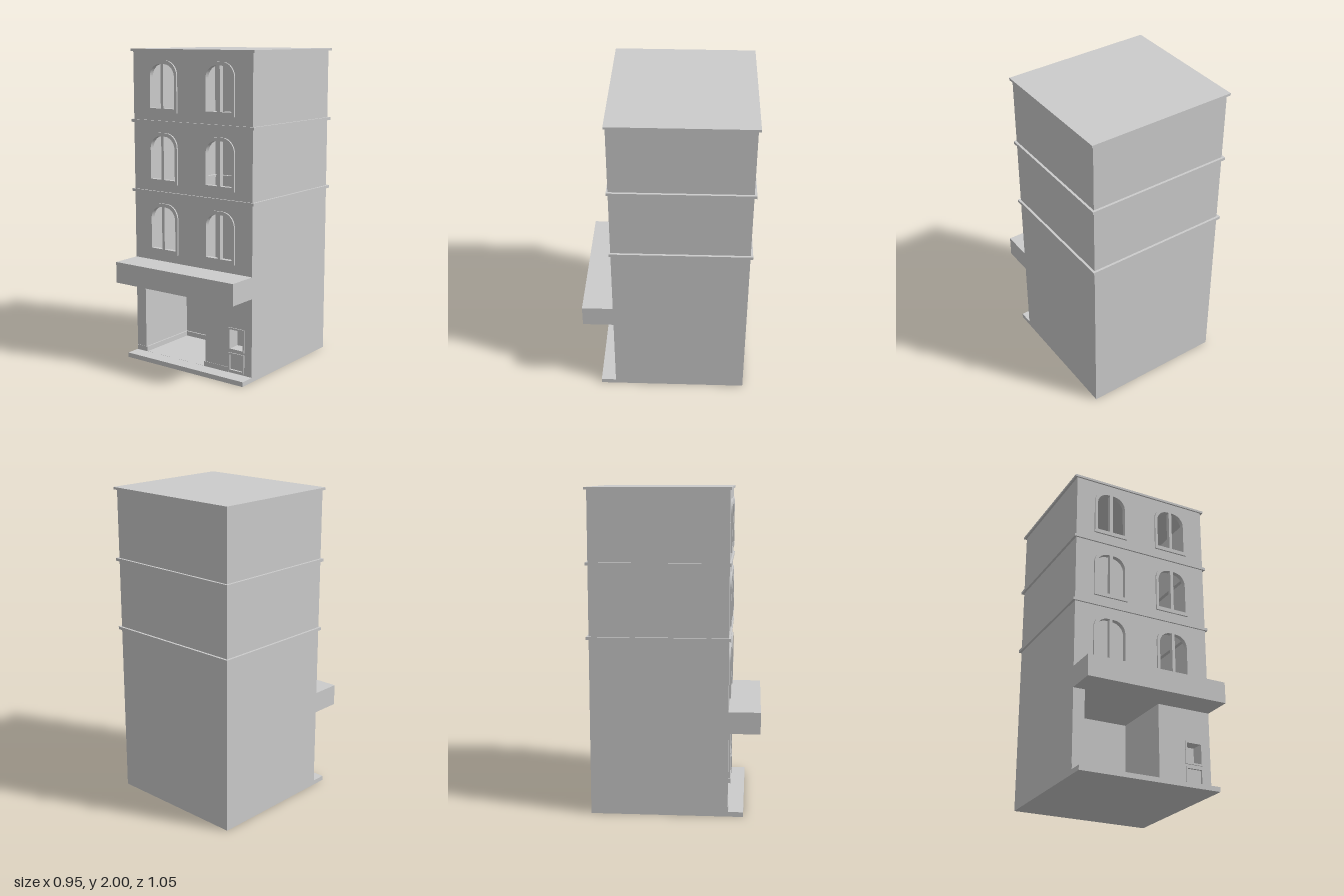
import * as THREE from 'three';

const mat = new THREE.MeshStandardMaterial({ color: 0xcccccc, flatShading: true });

export function createModel() {
  const model = new THREE.Group();
  const W = 0.46, BACK = -0.51, FRONT = 0.335, T = 0.03;

  const add = (name, geo) => {
    const m = new THREE.Mesh(geo, mat);
    m.name = name;
    model.add(m);
    return m;
  };
  // box given by its limits on each axis
  const box = (name, x0, x1, y0, y1, z0, z1) => {
    const g = new THREE.BoxGeometry(x1 - x0, y1 - y0, z1 - z0);
    g.translate((x0 + x1) / 2, (y0 + y1) / 2, (z0 + z1) / 2);
    return add(name, g);
  };
  const plate = (name, shape, z0, z1) => {
    const g = new THREE.ExtrudeGeometry(shape, { depth: z1 - z0, bevelEnabled: false, curveSegments: 7 });
    g.translate(0, 0, z0);
    return add(name, g);
  };
  const rect = (p, x0, x1, y0, y1) =>
    p.moveTo(x0, y0).lineTo(x1, y0).lineTo(x1, y1).lineTo(x0, y1).closePath();
  // opening with rounded top corners
  const arch = (p, x0, x1, y0, y1, r) => {
    p.moveTo(x0, y0).lineTo(x1, y0).lineTo(x1, y1 - r);
    p.absarc(x1 - r, y1 - r, r, 0, Math.PI / 2, false);
    p.lineTo(x0 + r, y1);
    p.absarc(x0 + r, y1 - r, r, Math.PI / 2, Math.PI, false);
    return p.closePath();
  };
  // one pane: straight beside the mullion, curved on the outer side (s = -1 or 1)
  const pane = (cx, s, y0, y1) => {
    const p = new THREE.Path(), a = cx + s * 0.01, b = cx + s * 0.097, r = 0.078;
    p.moveTo(a, y0).lineTo(b, y0).lineTo(b, y1 - r);
    p.absarc(b - s * r, y1 - r, r, s > 0 ? 0 : Math.PI, Math.PI / 2, s < 0);
    return p.lineTo(a, y1).closePath();
  };
  // walls, floor and ceiling around a space that is open to the front
  const recess = (name, x0, x1, y0, y1, z0, z1, t) => {
    box(name + 'Back', x0 - t, x1 + t, y0 - t, y1 + t, z0 - t, z0);
    box(name + 'RightWall', x0 - t, x0, y0, y1, z0, z1);
    box(name + 'LeftWall', x1, x1 + t, y0, y1, z0, z1);
    box(name + 'Ceiling', x0 - t, x1 + t, y1, y1 + t, z0, z1);
    box(name + 'Floor', x0 - t, x1 + t, y0 - t, y0, z0, z1);
  };

  // base slab and hollow shell
  box('baseSlab', -W, W, 0, 0.03, BACK, 0.43);
  box('backWall', -W, W, 0.03, 1.985, BACK, BACK + T);
  for (const s of [-1, 1]) {
    const xs = [s * W, s * (W - T)].sort((a, b) => a - b);
    box(s < 0 ? 'rightWall' : 'leftWall', xs[0], xs[1], 0.03, 1.985, BACK + T, FRONT - T);
  }

  // front wall with all its openings
  const facade = rect(new THREE.Shape(), -W, W, 0.03, 1.985);
  const shop = { x0: -0.385, x1: 0.105, y0: 0.03, y1: 0.525 };
  facade.holes.push(rect(new THREE.Path(), shop.x0, shop.x1, shop.y0 + 0.0005, shop.y1));
  const hatches = [[0.175, 0.32, 0.09], [0.04, 0.16, 0.012]];
  for (const [y0, y1] of hatches)
    facade.holes.push(rect(new THREE.Path(), 0.29, 0.4, y0 + 0.005, y1 - 0.005));

  // arched windows in three storeys, two per storey
  for (const y of [0.715, 1.163, 1.61]) {
    for (const cx of [-0.22, 0.217]) {
      facade.holes.push(arch(new THREE.Path(), cx - 0.105, cx + 0.105, y + 0.01, y + 0.31, 0.085));
      const frame = arch(new THREE.Shape(), cx - 0.115, cx + 0.115, y, y + 0.32, 0.09);
      for (const s of [-1, 1]) frame.holes.push(pane(cx, s, y + 0.025, y + 0.298));
      plate('windowFrame', frame, FRONT - 0.02, FRONT + 0.01);
    }
  }
  plate('frontWall', facade, FRONT - T, FRONT);

  // shop entrance with skirting
  const shopBack = -0.09, k = 0.01, top = 0.062;
  recess('shop', shop.x0, shop.x1, shop.y0, shop.y1, shopBack, FRONT - T, 0.02);
  box('skirtingRight', shop.x0, shop.x0 + k, 0.03, top, shopBack, FRONT + 0.003);
  box('skirtingLeft', shop.x1 - k, shop.x1, 0.03, top, shopBack, FRONT + 0.003);
  box('skirtingBack', shop.x0, shop.x1, 0.03, top, shopBack, shopBack + k);
  box('skirtingFrontRight', -W, shop.x0, 0.03, top, FRONT, FRONT + 0.003);
  box('skirtingFrontLeft', shop.x1, 0.285, 0.03, top, FRONT, FRONT + 0.003);

  // framed hatches beside the entrance
  for (const [y0, y1, depth] of hatches) {
    const frame = rect(new THREE.Shape(), 0.285, 0.405, y0, y1);
    frame.holes.push(rect(new THREE.Path(), 0.296, 0.394, y0 + 0.011, y1 - 0.011));
    plate('hatchFrame', frame, FRONT - 0.008, FRONT + 0.006);
    recess('hatch', 0.29, 0.4, y0 + 0.005, y1 - 0.005, FRONT - depth, FRONT - 0.002, 0.004);
  }

  // canopy above the entrance
  box('canopy', -W, W, 0.525, 0.66, FRONT, 0.53);

  // string courses run around the walls, with a ledge on the inside
  for (const y of [1.093, 1.54]) {
    const ring = rect(new THREE.Shape(), -0.475, 0.475, -0.525, 0.345);
    ring.holes.push(rect(new THREE.Path(), -0.405, 0.405, -0.455, 0.28));
    const course = plate('stringCourse', ring, 0, 0.018);
    course.geometry.rotateX(Math.PI / 2);
    course.geometry.translate(0, y + 0.018, 0);
  }
  box('roof', -0.475, 0.475, 1.985, 2, -0.525, 0.345);

  return model;
}
